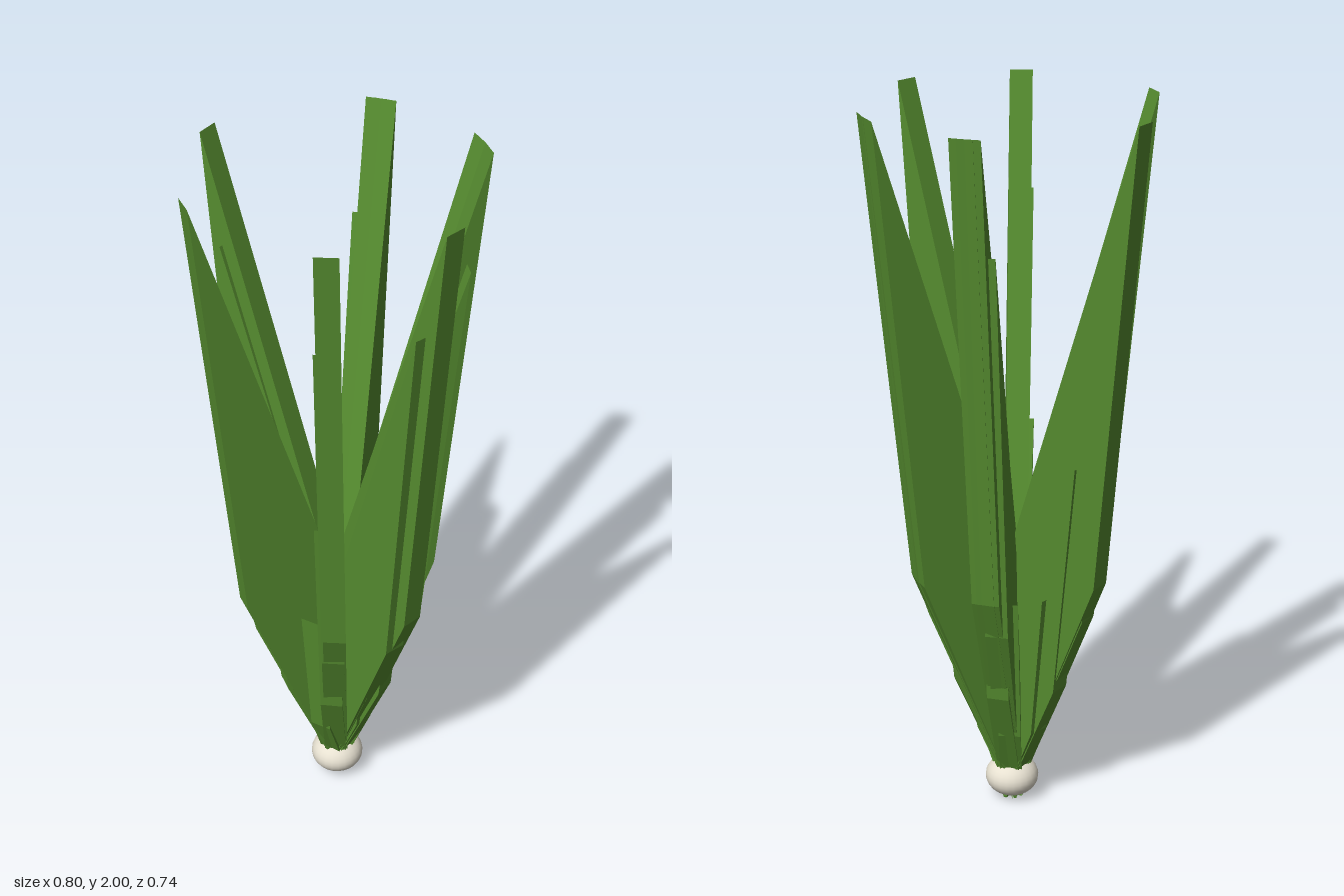
import * as THREE from 'three';

const leafGreen = new THREE.MeshStandardMaterial({ color: 0x558b2f });
leafGreen.name = 'leafGreen';
const bulbCream = new THREE.MeshStandardMaterial({ color: 0xe8e2d2 });
bulbCream.name = 'bulbCream';

const THICKNESS = 0.062;

// Kite-shaped blade standing in the radial plane, with a slight sideways lean
function leafGeometry(height, spread) {
  const s = height / 2;
  const outline = [[0, 0], [0.28, 0.72], [0.4, 2], [0.018, 0.773]];
  const shape = new THREE.Shape(outline.map(([r, y]) => new THREE.Vector2(r * s * spread, y * s)));
  const geo = new THREE.ExtrudeGeometry(shape, { depth: THICKNESS, bevelEnabled: false });
  geo.translate(0, 0, -THICKNESS / 2);
  const p = geo.attributes.position;
  for (let i = 0; i < p.count; i++) {
    p.setZ(i, p.getZ(i) + 0.015 * (p.getY(i) - (5 * p.getX(i)) / spread));
  }
  geo.computeVertexNormals();
  return geo;
}

// Rings of leaves: height, outward spread and compass angles in degrees
const rings = [
  { name: 'outerLeaf', height: 2.0, spread: 1, angles: [-0.3, 63.4, 111.5, 175.5, 233, 303.2, 306, 352.2] },
  { name: 'middleLeaf', height: 1.69, spread: 1.01, angles: [7, 68.6, 112.6, 185.5, 231, 300] },
  { name: 'innerLeaf', height: 1.06, spread: 1.08, angles: [2, 52.5, 115.5, 178, 235, 304] },
  { name: 'smallLeaf', height: 0.66, spread: 1.08, angles: [14, 60, 138, 176, 242, 294] },
];

export function createModel() {
  const model = new THREE.Group();
  model.name = 'leafyPlant';

  const plant = new THREE.Group();
  plant.name = 'plant';
  plant.position.z = -0.015;
  model.add(plant);

  for (const { name, height, spread, angles } of rings) {
    const geo = leafGeometry(height, spread);
    for (const deg of angles) {
      const leaf = new THREE.Mesh(geo, leafGreen);
      leaf.name = name;
      leaf.rotation.y = -THREE.MathUtils.degToRad(deg);
      plant.add(leaf);
    }
  }

  // Flattened round bulb at the foot
  const bulb = new THREE.Mesh(new THREE.SphereGeometry(0.075, 24, 16), bulbCream);
  bulb.name = 'bulb';
  bulb.scale.y = 0.77;
  bulb.position.y = 0.064;
  plant.add(bulb);

  return model;
}
